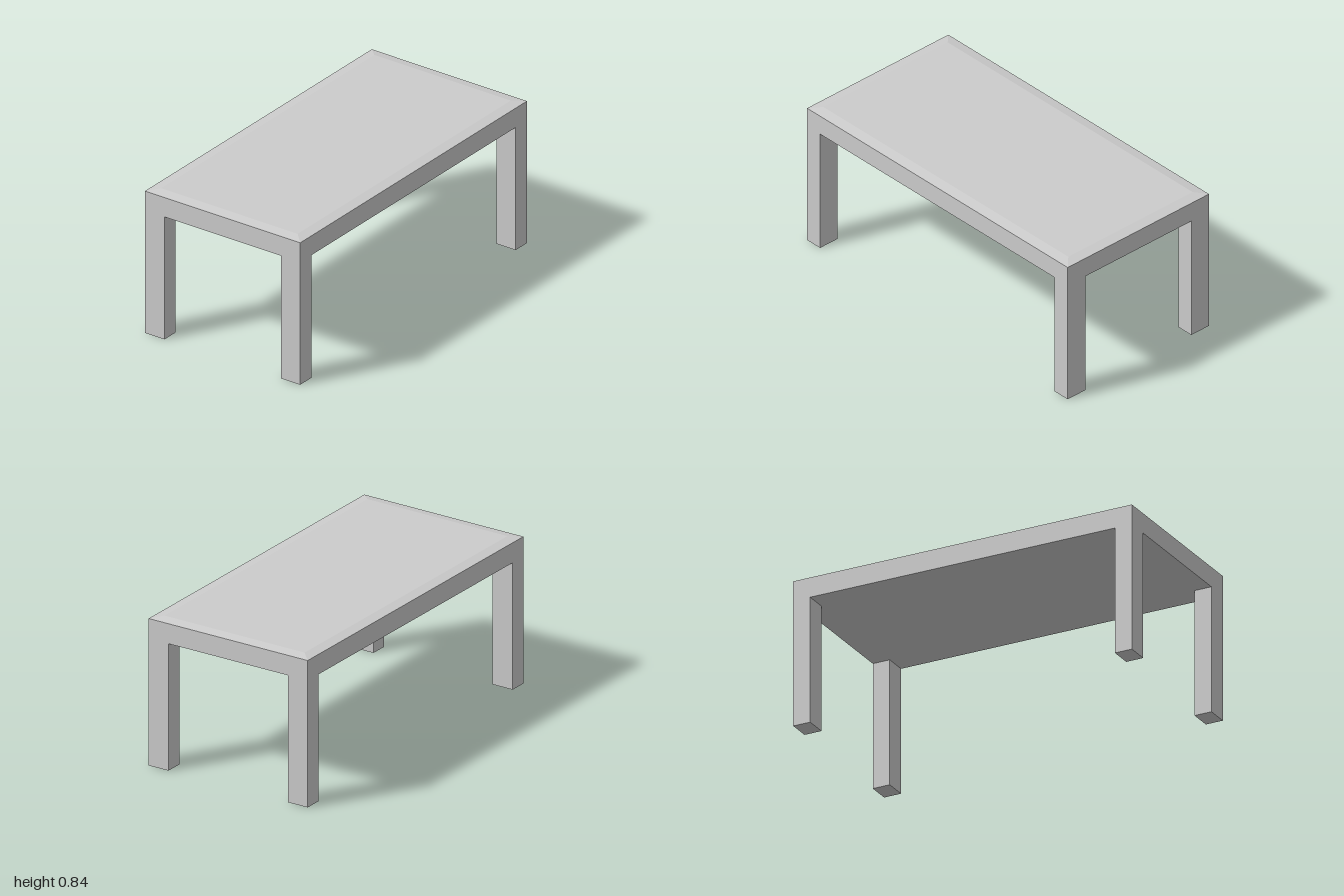
import * as THREE from 'three';

const LENGTH = 2, DEPTH = 1, UNDERSIDE = 0.717, RIM = 0.83, TOP = 0.84, INSET = 0.06;
const LEG_X = 0.1, LEG_Z = 0.125;

export function createModel() {
  const group = new THREE.Group();
  group.name = 'table';
  const material = new THREE.MeshStandardMaterial({ color: 0xcccccc, flatShading: true });

  // Table top: a box of two tiers, the upper tier drawn in to a shallow bevel
  const topGeometry = new THREE.BoxGeometry(LENGTH, 2, DEPTH, 1, 2, 1);
  const p = topGeometry.attributes.position;
  for (let i = 0; i < p.count; i++) {
    const tier = Math.round(p.getY(i)) + 1;
    const inset = tier === 2 ? INSET : 0;
    p.setXYZ(
      i,
      Math.sign(p.getX(i)) * (LENGTH / 2 - inset),
      [UNDERSIDE, RIM, TOP][tier],
      Math.sign(p.getZ(i)) * (DEPTH / 2 - inset)
    );
  }
  topGeometry.computeVertexNormals();
  const tableTop = new THREE.Mesh(topGeometry, material);
  tableTop.name = 'tableTop';
  group.add(tableTop);

  // Four legs flush with the corners
  const legGeometry = new THREE.BoxGeometry(LEG_X, UNDERSIDE, LEG_Z);
  for (const sx of [-1, 1]) {
    for (const sz of [-1, 1]) {
      const leg = new THREE.Mesh(legGeometry, material);
      leg.name = (sz > 0 ? 'front' : 'back') + (sx > 0 ? 'Left' : 'Right') + 'Leg';
      leg.position.set(sx * (LENGTH - LEG_X) / 2, UNDERSIDE / 2, sz * (DEPTH - LEG_Z) / 2);
      group.add(leg);
    }
  }
  return group;
}
